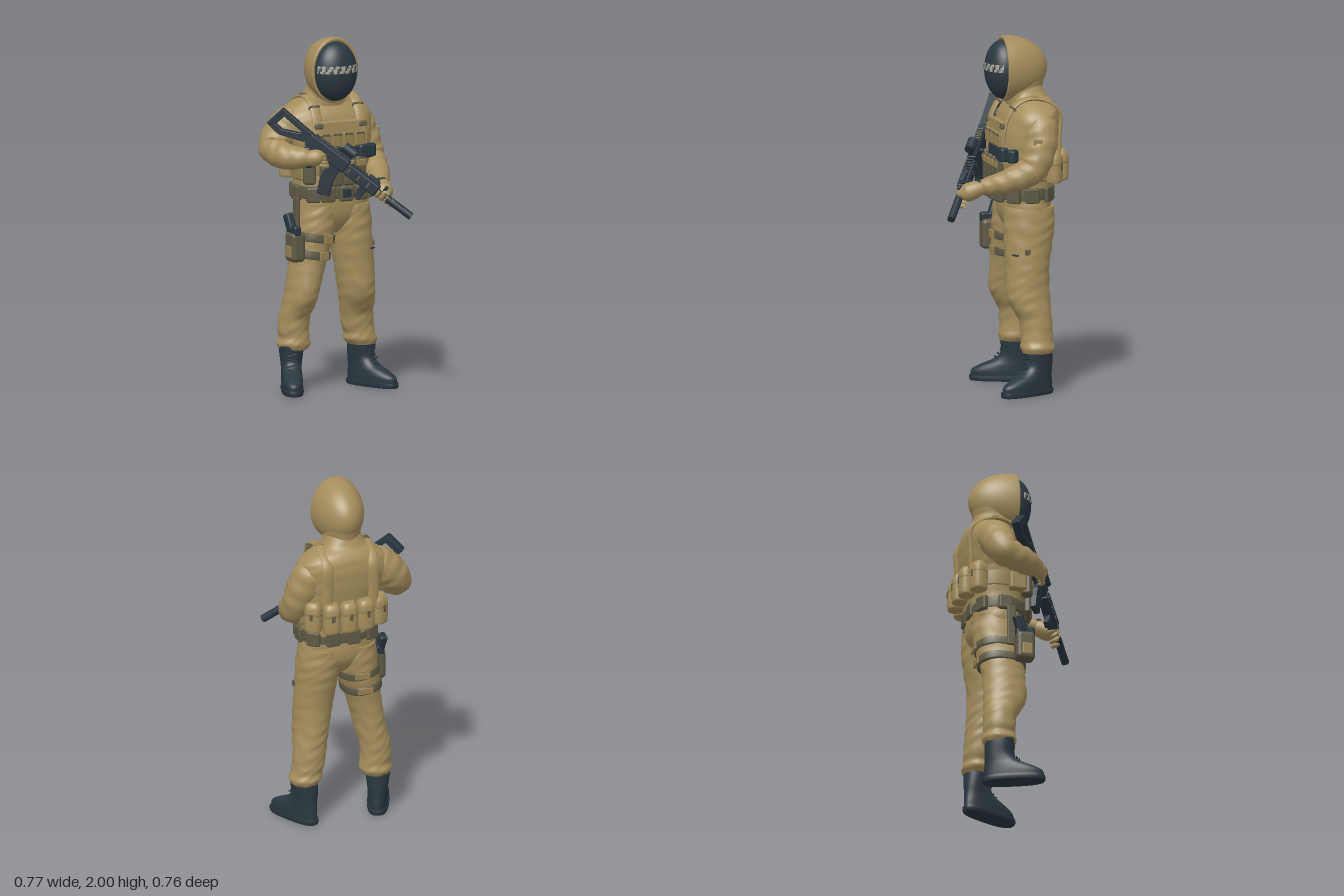
import * as THREE from 'three';
import { RoundedBoxGeometry } from 'three/addons/geometries/RoundedBoxGeometry.js';

const V = (x, y, z) => new THREE.Vector3(x, y, z);
const mat = (name, color) => Object.assign(new THREE.MeshStandardMaterial({ color }), { name });

// Stacked oval rings [y, centreX, centreZ, radiusX, radiusZ], smoothed upward; wrinkle adds cloth folds
function loft(rows, { n = 40, sub = 6, pow = 1, wrinkle = 0 } = {}) {
  const mid = new THREE.CatmullRomCurve3(rows.map(r => V(r[1], r[0], r[2])), false, 'catmullrom', 0.5);
  const rad = new THREE.CatmullRomCurve3(rows.map(r => V(r[3], r[4], 0)), false, 'catmullrom', 0.5);
  const steps = (rows.length - 1) * sub, pos = [], idx = [];
  const bend = v => Math.sign(v) * Math.abs(v) ** pow;
  const ring = t => {
    const c = mid.getPoint(t), r = rad.getPoint(t);
    for (let j = 0; j < n; j++) {
      const a = j / n * Math.PI * 2;
      const w = 1 + wrinkle * Math.sin(c.y * 75 + 3 * Math.sin(a * 2 + c.y * 9)) * Math.sin(a * 3 + c.y * 14);
      pos.push(c.x + r.x * w * bend(Math.cos(a)), c.y, c.z + r.y * w * bend(Math.sin(a)));
    }
    return c;
  };
  for (let i = 0; i <= steps; i++) ring(i / steps);
  for (let i = 0; i < steps; i++) for (let j = 0; j < n; j++) {
    const a = i * n + j, c = i * n + (j + 1) % n;
    idx.push(a, a + n, c, c, a + n, c + n);
  }
  for (const t of [0, 1]) {
    const s = pos.length / 3, c = ring(t);
    pos.push(c.x, c.y, c.z);
    for (let j = 0; j < n; j++) {
      const k = s + (j + 1) % n;
      t ? idx.push(s + j, s + n, k) : idx.push(s + j, k, s + n);
    }
  }
  const g = new THREE.BufferGeometry();
  g.setAttribute('position', new THREE.Float32BufferAttribute(pos, 3));
  g.setIndex(idx);
  g.computeVertexNormals();
  return g;
}

// Tube through [x, y, z, radius] with changing thickness
function limb(pts, wrinkle = 0, seg = 48, n = 20) {
  const path = new THREE.CatmullRomCurve3(pts.map(p => V(p[0], p[1], p[2])));
  const rad = new THREE.CatmullRomCurve3(pts.map((p, i) => V(p[3], i, 0)), false, 'catmullrom', 0.5);
  const g = new THREE.TubeGeometry(path, seg, 1, n), p = g.attributes.position, v = V();
  for (let i = 0; i <= seg; i++) {
    const c = path.getPointAt(i / seg), r = rad.getPoint(path.getUtoTmapping(i / seg)).x;
    for (let j = 0; j <= n; j++) {
      const k = i * (n + 1) + j, a = j / n * Math.PI * 2;
      v.fromBufferAttribute(p, k).sub(c).multiplyScalar(r * (1 + wrinkle * Math.sin(i * 1.1 + 2 * Math.sin(a)) * Math.sin(a * 2))).add(c);
      p.setXYZ(k, v.x, v.y, v.z);
    }
  }
  g.computeVertexNormals();
  return g;
}

export function createModel() {
  const root = new THREE.Group();
  const tan = mat('tan cloth', 0xa58e5c), web = mat('olive webbing', 0x5f5a45), pouchTan = mat('pouch tan', 0x968252);
  const dark = mat('dark slate', 0x2a3840), gun = mat('gunmetal', 0x28353e), grey = mat('pale grey', 0xa3a49d);
  tan.side = THREE.DoubleSide;
  const add = (name, geo, m, parent = root, x = 0, y = 0, z = 0) => {
    const o = new THREE.Mesh(geo, m);
    o.name = name; o.position.set(x, y, z); parent.add(o);
    return o;
  };
  const box = (name, m, x, y, z, w, h, d, ry = 0, parent = root, r = 0.3) => {
    const o = add(name, new RoundedBoxGeometry(w, h, d, 3, Math.min(w, h, d) * r), m, parent, x, y, z);
    o.rotation.y = ry;
    return o;
  };

  // Jacket and neck
  add('jacket', loft([[1.06, .045, -.14, .215, .145], [1.18, .045, -.145, .215, .15], [1.32, .045, -.15, .23, .155],
    [1.42, .035, -.158, .25, .163], [1.52, .025, -.172, .27, .156], [1.58, .028, -.182, .25, .142], [1.63, .03, -.187, .185, .118],
    [1.665, .02, -.17, .125, .105], [1.72, .02, -.15, .095, .1]], { pow: .85, wrinkle: .01 }), tan);
  // Trousers
  add('hips', loft([[.885, .045, -.14, .03, .06], [.92, .045, -.142, .11, .1], [.98, .048, -.144, .2, .135], [1.04, .047, -.143, .222, .146],
    [1.1, .045, -.14, .215, .145]], { pow: .95 }), tan);
  const legs = {
    right: [[.235, -.178, -.165, .078, .085], [.265, -.175, -.165, .094, .097], [.3, -.172, -.165, .086, .09], [.34, -.177, -.165, .088, .09],
      [.42, -.172, -.16, .088, .094], [.5, -.155, -.135, .09, .115], [.57, -.143, -.124, .09, .124], [.7, -.115, -.125, .099, .123],
      [.85, -.08, -.135, .112, .138], [.95, -.062, -.142, .122, .145], [1.05, -.05, -.143, .12, .143]],
    left: [[.235, .248, -.165, .078, .085], [.265, .243, -.165, .095, .097], [.3, .236, -.165, .087, .09], [.34, .226, -.165, .092, .09],
      [.42, .216, -.16, .094, .094], [.5, .205, -.135, .099, .115], [.57, .195, -.124, .102, .124], [.7, .182, -.125, .111, .123],
      [.85, .166, -.135, .118, .138], [.95, .158, -.142, .122, .145], [1.05, .148, -.143, .12, .143]],
  };
  for (const side in legs) add(side + 'Leg', loft(legs[side], { wrinkle: .025 }), tan);
  box('thighPocketEdge', dark, .225, .79, -.027, .09, .009, .02, .42);
  box('thighPocketTab', web, .286, .81, -.095, .01, .03, .03);

  // Boots, turned outward
  for (const [side, x, turn] of [['right', -.19, -.4], ['left', .252, .4]]) {
    const boot = new THREE.Group();
    boot.name = side + 'Boot'; boot.position.set(x, 0, -.165); boot.rotation.y = turn; root.add(boot);
    add('sole', loft([[0, 0, .078, .058, .172], [.015, 0, .078, .062, .177], [.03, 0, .078, .061, .175]], { sub: 2, pow: .75 }), gun, boot);
    add('upper', loft([[.025, 0, .076, .058, .17], [.06, 0, .074, .06, .167], [.09, 0, .05, .059, .14], [.12, 0, .016, .057, .104],
      [.16, 0, -.005, .06, .083], [.22, 0, -.004, .068, .082], [.27, 0, 0, .072, .084]], { pow: .9 }), dark, boot);
    for (let i = 0; i < 5; i++) {
      const lace = add('lace', new THREE.CapsuleGeometry(.005, .05, 4, 8), gun, boot, 0, .125 + i * .027, .11 - Math.min(i, 2) * .017);
      lace.rotation.z = Math.PI / 2 + (i % 2 ? .25 : -.25);
    }
  }

  // Arms, cuffs and gloves
  add('rightArm', limb([[-.08, 1.55, -.19, .03], [-.165, 1.52, -.19, .095], [-.25, 1.45, -.19, .096], [-.3, 1.38, -.168, .084],
    [-.275, 1.345, -.05, .073], [-.21, 1.345, .03, .056], [-.18, 1.345, .06, .035]], .05), tan);
  add('leftArm', limb([[.12, 1.55, -.19, .03], [.2, 1.52, -.188, .095], [.258, 1.42, -.178, .094], [.285, 1.285, -.125, .084],
    [.27, 1.225, -.01, .07], [.225, 1.19, .11, .052], [.2, 1.18, .17, .035]], .05), tan);
  add('rightGlove', limb([[-.22, 1.34, .02, .03], [-.18, 1.345, .06, .045], [-.14, 1.35, .085, .042], [-.11, 1.345, .1, .012]], 0, 20), tan);
  add('leftGlove', limb([[.225, 1.19, .12, .03], [.205, 1.17, .18, .048], [.19, 1.15, .235, .05], [.18, 1.145, .285, .015]], 0, 20), tan);
  for (let i = 0; i < 4; i++) {
    const a = i * .021;
    add('rightFinger', limb([[-.16 + a * .3, 1.37 - a, .09, .012], [-.13 + a * .3, 1.365 - a, .105, .014], [-.105 + a * .3, 1.36 - a, .085, .008]], 0, 10, 8), tan);
    add('leftFinger', limb([[.165 + a, 1.13 - a * .8, .21 + a * .7, .013], [.14 + a, 1.14 - a * .8, .24 + a * .7, .015], [.15 + a, 1.17 - a * .8, .26 + a * .7, .012]], 0, 10, 8), tan);
  }
  box('sleevePatch', pouchTan, .336, 1.435, -.14, .018, .05, .05, -.3);
  box('wristStrap', dark, .205, 1.213, .165, .05, .018, .03, .4);

  // Hood, rim and masked face
  add('hood', new THREE.SphereGeometry(1, 40, 28, Math.PI, Math.PI), tan, root, .017, 1.815, -.035).scale.set(.146, .185, .253);
  add('hoodRim', new THREE.TorusGeometry(1, .07, 8, 48), tan, root, .017, 1.815, -.035).scale.set(.136, .174, .14);
  add('mask', new THREE.SphereGeometry(1, 40, 28), dark, root, .017, 1.808, -.035).scale.set(.13, .168, .104);
  add('hoodCollar', loft([[1.61, .02, -.175, .15, .12], [1.65, .02, -.16, .12, .115], [1.7, .018, -.14, .105, .12], [1.75, .017, -.14, .11, .13]]), tan);
  const seam = add('maskSeam', new THREE.SphereGeometry(1, 3, 20, Math.PI * .494, Math.PI * .012, Math.PI * .5, Math.PI * .45), gun, root, .017, 1.808, -.035);
  seam.scale.set(.132, .17, .106);
  // Patterned eye band made of small facets
  for (let i = 0; i < 28; i++) for (let k = 0; k < 3; k++) {
    const m = [grey, web, grey, dark, grey][(i * 3 + k * 2 + (i * i) % 4) % 5];
    const facet = add('eyeBand', new THREE.SphereGeometry(1, 2, 2, Math.PI * (.1 + i * .8 / 28), Math.PI * .8 / 28, 1.31 + k * .085, .085), m, root, .017, 1.808, -.035);
    facet.scale.set(.134, .17, .108);
  }

  // Belt, waist band and belt pouches
  const belt = (name, m, y, h, cx, cz, rx, rz) => add(name, loft([[y - h / 2, cx, cz, rx - .006, rz - .006], [y - h / 2 + .006, cx, cz, rx, rz],
    [y + h / 2 - .006, cx, cz, rx, rz], [y + h / 2, cx, cz, rx - .006, rz - .006]], { sub: 1, pow: .87 }), m);
  belt('belt', web, 1.13, .07, .045, -.13, .224, .163);
  belt('rigBand', pouchTan, 1.28, .1, .045, -.147, .23, .167);
  for (const [x, z, ry] of [[-.14, .01, -.35], [-.06, .035, -.1], [.05, .04, 0], [.15, .03, .2], [.235, -.03, .8], [.265, -.13, 1.57],
    [.22, -.235, 2.4], [-.175, -.13, 1.57], [-.12, -.25, .4], [0, -.28, 0], [.12, -.277, 0]])
    box('beltPouch', web, x, 1.125, z, .08, .085, .035, ry);
  box('buckle', gun, .045, 1.13, .06, .05, .045, .012);

  // Back and side pouches with flaps
  for (const [x, z, ry] of [[-.15, -.28, .45], [-.055, -.32, .1], [.047, -.33, 0], [.148, -.325, -.1], [.232, -.265, -.7]]) {
    const p = new THREE.Group();
    p.name = 'backPouch'; p.position.set(x, 1.275, z); p.rotation.y = ry; root.add(p);
    add('body', loft([[-.085, 0, 0, .04, .038], [-.07, 0, 0, .048, .046], [.03, 0, 0, .049, .047], [.065, 0, 0, .045, .042], [.086, 0, 0, .032, .028]], { sub: 3, n: 24, pow: .75 }), tan, p);
    add('flapEdge', loft([[.015, 0, 0, .05, .048], [.022, 0, 0, .051, .049], [.03, 0, 0, .05, .048]], { sub: 1, n: 24, pow: .75 }), pouchTan, p);
    box('tab', web, 0, .01, -.046, .018, .04, .008, 0, p);
  }
  for (const [x, z] of [[-.18, -.06], [.262, -.16]]) box('sidePouch', pouchTan, x, 1.28, z, .05, .15, .1);

  // Shoulder straps
  for (const x of [-.107, .165]) {
    const path = [[1.3, .01], [1.45, .012], [1.56, -.014], [1.63, -.065], [1.66, -.14], [1.645, -.23], [1.58, -.312], [1.45, -.316], [1.3, -.31]];
    add('shoulderStrap', limb(path.map(([y, z]) => [0, y, z, .012]), 0, 48, 12).scale(2.6, 1, 1), tan, root, x);
    box('strapBuckle', web, x, 1.51, .012, .05, .03, .03).rotation.x = -.2;
    box('strapLoop', web, x, 1.61, -.045, .064, .012, .03).rotation.x = -.8;
    box('strapPad', x < 0 ? web : pouchTan, x, 1.666, -.17, .05, .016, .04);
  }

  // Chest rig
  box('chestPanel', tan, .035, 1.43, .008, .25, .21, .025);
  for (let i = 0; i < 4; i++) {
    const x = -.075 + i * .072;
    box('chestPouch', pouchTan, x, 1.43, .022, .062, .08, .03);
    box('chestFlap', web, x, 1.462, .034, .05, .012, .014);
    box('magazinePouch', web, x, 1.25, .03, .064, .16, .045);
    box('magazineFlap', pouchTan, x, 1.295, .045, .06, .04, .022);
  }
  box('darkChestBand', dark, .065, 1.352, .02, .22, .07, .025);
  box('radioPouch', dark, .175, 1.355, .02, .09, .08, .05, .15);
  box('sideDarkPouch', dark, .235, 1.35, -.025, .05, .075, .06, .7);
  box('utilityPouch', web, -.16, 1.26, .0, .07, .15, .06, -.4);
  box('utilityInsert', dark, -.172, 1.31, .012, .05, .05, .06, -.4);
  box('lowerPouch', dark, -.165, 1.37, -.005, .05, .06, .05, -.4);

  // Thigh holster and pistol
  for (const [y, cx, rx, rz] of [[.87, -.077, .119, .146], [.775, -.098, .114, .138]]) {
    const strap = belt('thighStrap', web, 0, .048, 0, 0, rx, rz);
    strap.position.set(cx, y, -.133);
    strap.rotation.z = -.14;
    box('strapTrim', pouchTan, cx + .03, y - .004, rz - .133, .055, .05, .014, .1);
    box('strapClip', pouchTan, cx + .02, y, -.133 - rz, .09, .036, .012);
  }
  box('holster', web, -.232, .835, -.035, .085, .17, .11);
  box('holsterPouch', pouchTan, -.266, .81, -.03, .025, .07, .06);
  box('holsterHanger', web, -.19, .98, -.1, .02, .24, .05);
  box('pistolSlide', gun, -.24, .925, -.035, .045, .06, .11);
  box('pistolGrip', gun, -.248, .965, -.065, .045, .11, .06).rotation.set(-.35, 0, .12);

  // Rifle: local x runs from butt to muzzle, y is up
  const rifle = new THREE.Group(), d = V(.62, -.555, .455).normalize();
  const up = V(0, 1, 0).addScaledVector(d, -d.y).normalize();
  rifle.name = 'rifle';
  rifle.quaternion.setFromRotationMatrix(new THREE.Matrix4().makeBasis(d, up, d.clone().cross(up)));
  rifle.position.set(-.314, 1.563, -.092);
  root.add(rifle);
  const outline = pts => pts.map(p => new THREE.Vector2(...p));
  const plate = (name, pts, depth, hole) => {
    const s = new THREE.Shape(outline(pts));
    if (hole) s.holes.push(new THREE.Path(outline(hole)));
    const g = new THREE.ExtrudeGeometry(s, { depth: depth - .008, bevelSize: .004, bevelThickness: .004, bevelSegments: 2 });
    return add(name, g.translate(0, 0, .004 - depth / 2), gun, rifle);
  };
  const rod = (name, s, u, len, r, m = gun) => add(name, new THREE.CylinderGeometry(r, r, len, 20).rotateZ(Math.PI / 2), m, rifle, s, u, 0);
  const part = (name, s, u, w, h, dep, m = gun) => box(name, m, s, u, 0, w, h, dep, 0, rifle, .15);
  plate('stock', [[0, .06], [-.02, -.055], [.06, -.065], [.22, -.005], [.22, .045]], .046, [[.025, .036], [.16, .026], [.16, .008], [.06, -.04], [.01, -.035]]);
  part('buttPad', -.01, .002, .02, .12, .05).rotation.z = -.2;
  part('receiver', .345, .01, .27, .075, .052);
  part('topCover', .35, .045, .24, .025, .042);
  part('handguard', .59, .006, .21, .066, .058);
  for (let i = 0; i < 9; i++) {
    part('coverTooth', .27 + i * .014, .057, .007, .008, .03, web);
    part('railTooth', .5 + i * .022, .042, .012, .014, .034);
    part('guardRib', .5 + i * .022, .005, .01, .03, .064, i % 3 ? gun : web);
  }
  plate('pistolGrip', [[.28, -.01], [.24, -.11], [.275, -.12], [.32, -.01]], .034);
  plate('triggerGuard', [[.31, -.015], [.32, -.055], [.37, -.055], [.38, -.015]], .014, [[.32, -.02], [.327, -.047], [.364, -.047], [.37, -.02]]);
  plate('magazine', [[.39, -.01], [.385, -.08], [.4, -.14], [.43, -.205], [.49, -.18], [.465, -.125], [.453, -.07], [.455, -.01]], .036);
  plate('foreGrip', [[.6, -.015], [.605, -.09], [.635, -.09], [.64, -.015]], .03);
  rod('barrel', .74, .01, .14, .012);
  rod('suppressor', .845, .005, .17, .022);
  part('frontSight', .725, .03, .02, .06, .018);
  part('sightMount', .435, .065, .07, .025, .03);
  rod('sight', .435, .095, .075, .03);
  rod('sightLens', .435, .095, .079, .022, dark);
  part('sideLamp', .64, .045, .07, .03, .03);
  box('chargingLever', gun, .4, .025, -.035, .02, .012, .03, 0, rifle);

  return root;
}
